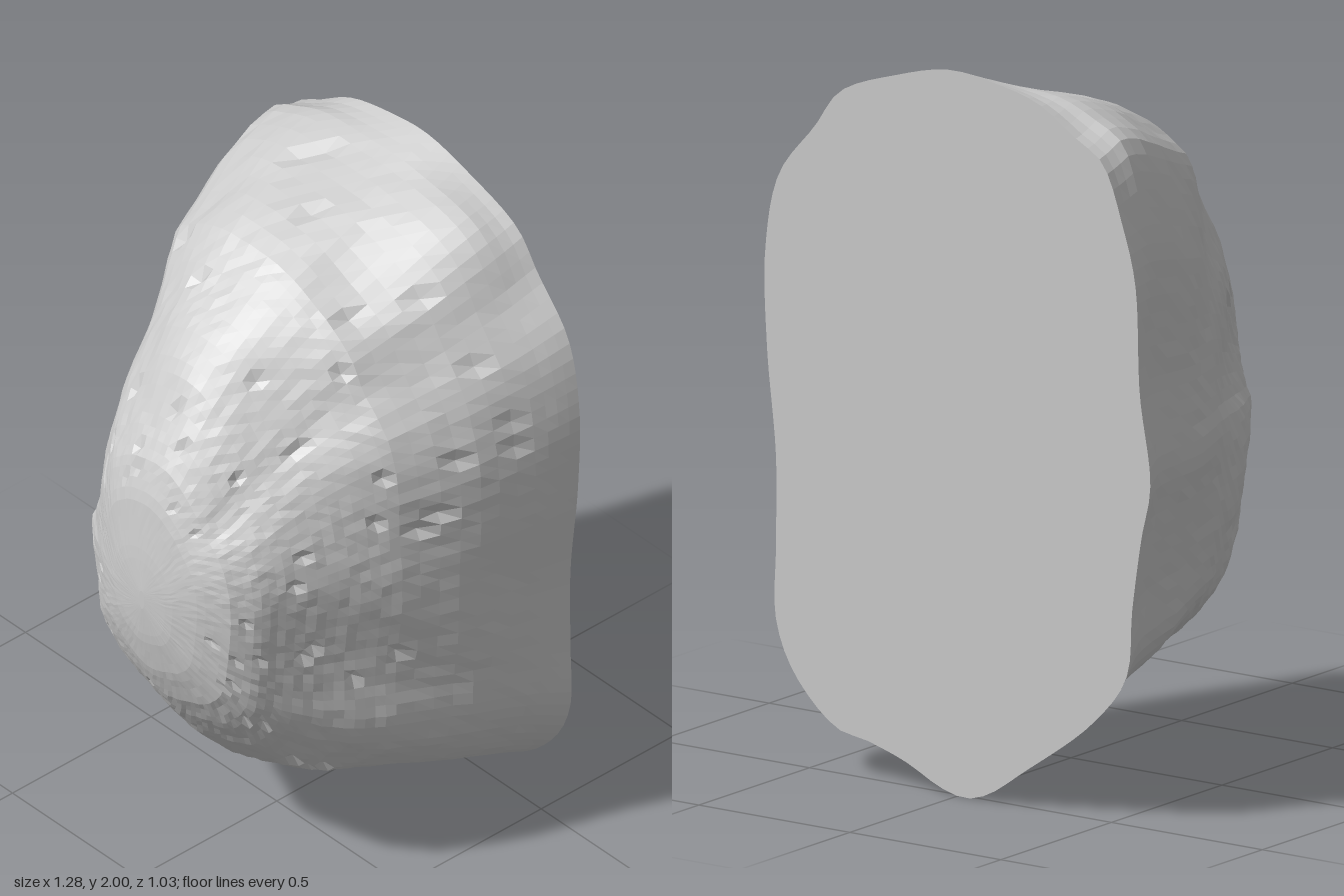
import * as THREE from 'three';

// Outline of the flat back, clockwise from the top as seen from the front
const OUTLINE = [
  [0.03, 2], [0.2, 1.96], [0.39, 1.885], [0.47, 1.78], [0.59, 1.63], [0.635, 1.42], [0.63, 1.15], [0.6, 0.85],
  [0.6, 0.6], [0.6, 0.4], [0.54, 0.26], [0.4, 0.13], [0.3, 0.11], [0.17, 0.07], [0.05, 0.015], [-0.03, 0],
  [-0.1, 0.02], [-0.22, 0.1], [-0.45, 0.27], [-0.56, 0.41], [-0.58, 0.6], [-0.61, 0.8], [-0.64, 0.95],
  [-0.605, 1.2], [-0.59, 1.5], [-0.55, 1.65], [-0.48, 1.82], [-0.4, 1.87], [-0.27, 1.95], [-0.1, 1.99],
];
// Extents of each slice from back to front: z, left, right, bottom, top
const SLICES = [
  [-0.515, -0.64, 0.64, 0, 2], [-0.4, -0.585, 0.62, 0.06, 1.95], [-0.2, -0.56, 0.58, 0.13, 1.88],
  [0, -0.48, 0.51, 0.2, 1.81], [0.1, -0.435, 0.465, 0.24, 1.75], [0.2, -0.395, 0.42, 0.3, 1.67],
  [0.3, -0.35, 0.38, 0.4, 1.56], [0.38, -0.31, 0.35, 0.5, 1.45], [0.44, -0.24, 0.3, 0.6, 1.36],
  [0.48, -0.17, 0.22, 0.7, 1.26], [0.505, -0.09, 0.13, 0.82, 1.1], [0.515, 0.02, 0.04, 0.93, 0.99],
];
// Broad swellings and cuts: angle around the slice, width, amount, depth where strongest, spread in depth
const BULGES = [
  [2.3, 0.38, 0.12, 0.17, 0.22],   // full upper left shoulder
  [0.85, 0.45, -0.17, 0.57, 0.3],  // sloping facet on the upper right
  [1.1, 0.25, 0.05, 0.1, 0.1],     // upper right corner near the back
  [-2.6, 0.5, 0.1, 0.45, 0.25],    // swollen lower left flank
  [-1.0, 0.4, 0.04, 0.4, 0.2],     // heavy lower right corner
];
const AROUND = 120, RINGS = 40;

function seeded(seed) {
  return () => (seed = (seed * 16807) % 2147483647) / 2147483647;
}

// Smooth lumps over the weathered surface
const lump = (x, y, z) =>
  0.01 * Math.sin(7 * x + 5 * y + 3 * z) + 0.008 * Math.sin(13 * y - 9 * z + 2) * Math.cos(11 * x + 1);

const bell = (d, width) => Math.exp(-((d / width) ** 2));

function bulge(u, v, t) {
  const angle = Math.atan2(v, u);
  return BULGES.reduce((sum, [a, width, amount, depth, spread]) =>
    sum + amount * bell(angle - a, width) * bell(t - depth, spread), 0);
}

// Read a row of SLICES at a fractional position
function sliceAt(t) {
  const f = t * (SLICES.length - 1), k = Math.min(Math.floor(f), SLICES.length - 2);
  return SLICES[k].map((v, c) => THREE.MathUtils.lerp(v, SLICES[k + 1][c], f - k));
}

function meshFrom(name, positions, index) {
  const geometry = new THREE.BufferGeometry();
  geometry.setAttribute('position', new THREE.Float32BufferAttribute(positions, 3));
  geometry.setIndex(index);
  geometry.computeVertexNormals();
  const mesh = new THREE.Mesh(geometry, new THREE.MeshStandardMaterial({ color: 0xcccccc, flatShading: true }));
  mesh.name = name;
  return mesh;
}

export function createModel() {
  const group = new THREE.Group();
  group.name = 'rock';
  const random = seeded(77);
  const curve = new THREE.CatmullRomCurve3(OUTLINE.map(([x, y]) => new THREE.Vector3(x, y, 0)), true, 'centripetal');
  const rim = curve.getSpacedPoints(AROUND).slice(0, AROUND);

  // Weathered front: slices of the outline, shrinking and rounding towards the front
  const positions = [], index = [];
  for (let j = 0; j <= RINGS; j++) {
    const t = j / RINGS;
    const [z, left, right, bottom, top] = sliceAt(t);
    const cx = (left + right) / 2, cy = (bottom + top) / 2;
    const fade = Math.min(1, t * 5) * Math.min(1, (1 - t) * 2.5);
    for (const p of rim) {
      let u = p.x / 0.64, v = p.y - 1;
      const round = THREE.MathUtils.lerp(1, 1 / Math.hypot(u, v), 0.6 * t);
      const scale = round * (1 + Math.min(1, t * 12) * bulge(u, v, t));
      u *= scale;
      v *= scale;
      const x = cx + u * (right - left) / 2;
      const y = cy + v * (top - bottom) / 2;
      // small chips knocked out of the surface
      const chip = random() < 0.025 && t > 0.1 && t < 0.8 && x > -0.35 ? 0.016 : 0;
      const d = fade * (lump(x, y, z) + 0.005 * (random() - 0.5) - chip);
      positions.push(x + u * d, y + v * d, z + d * 0.4 * t);
    }
  }
  for (let j = 0; j < RINGS; j++) {
    for (let i = 0; i < AROUND; i++) {
      const n = (i + 1) % AROUND;
      const a = j * AROUND + i, b = a + AROUND, c = j * AROUND + n, e = c + AROUND;
      index.push(a, b, c, b, e, c);
    }
  }
  // close the foremost ring
  const tip = positions.length / 3;
  positions.push(0.03, 0.96, 0.515);
  for (let i = 0; i < AROUND; i++) index.push(RINGS * AROUND + i, tip, RINGS * AROUND + (i + 1) % AROUND);
  group.add(meshFrom('rockFace', positions, index));

  // Flat cut back
  const back = [0, 1, -0.515], backIndex = [];
  rim.forEach((p, i) => {
    back.push(p.x, p.y, -0.515);
    backIndex.push(0, i + 1, (i + 1) % AROUND + 1);
  });
  group.add(meshFrom('flatBack', back, backIndex));
  return group;
}
